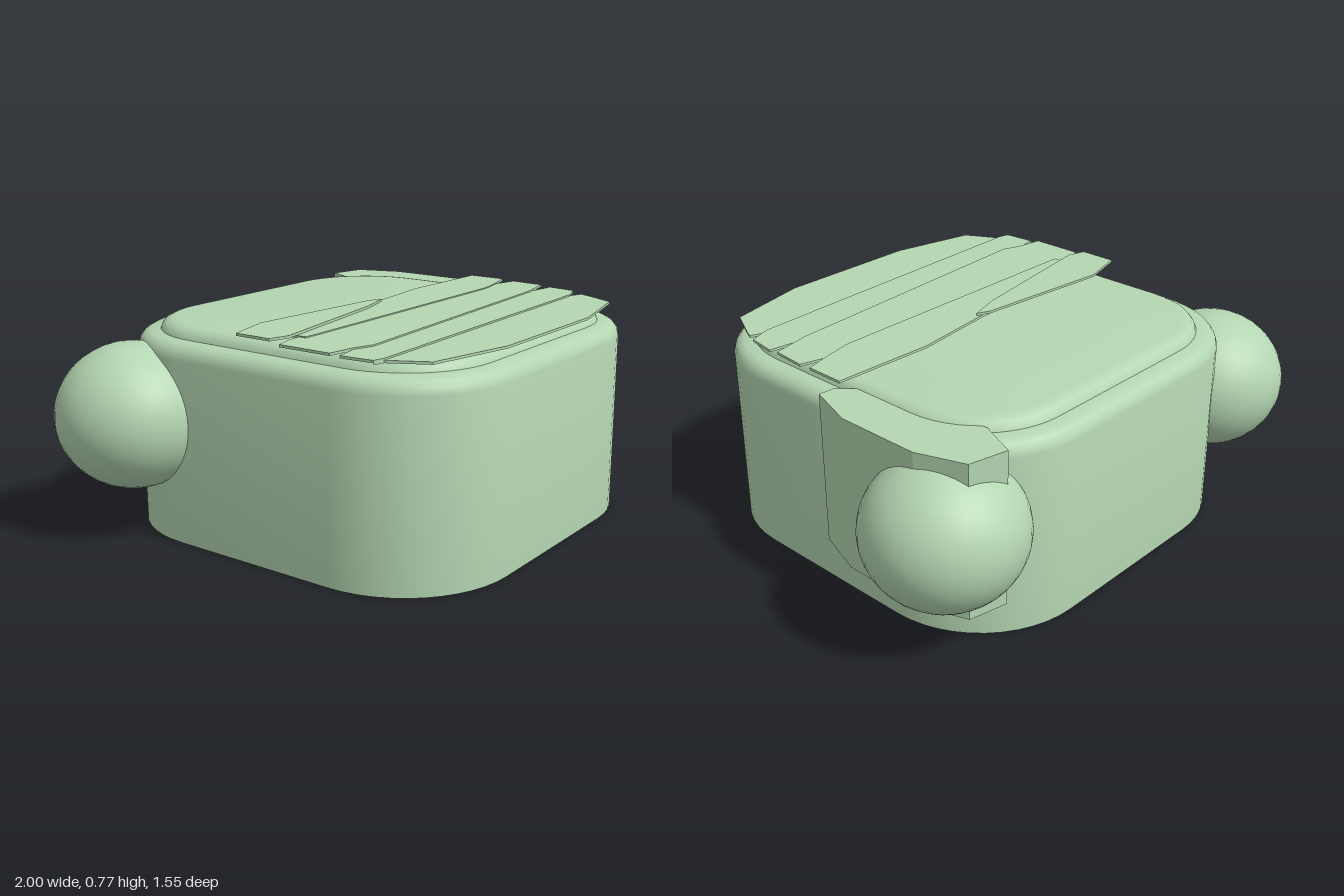
import * as THREE from 'three';
import { toCreasedNormals } from 'three/addons/utils/BufferGeometryUtils.js';

const green = new THREE.MeshStandardMaterial({ color: 0xb4d6b2 });
green.name = 'soft green';

// Outline of a rounded rectangle in x/z, shrunk inwards by inset
function ring(inset, y) {
  const r = 0.41 - inset, cx = 0.33, cz = 0.325, steps = 12, pts = [];
  const corners = [[cx, cz], [-cx, cz], [-cx, -cz], [cx, -cz]];
  corners.forEach(([x, z], k) => {
    for (let i = 0; i <= steps; i++) {
      const a = (k + i / steps) * Math.PI / 2;
      pts.push([x + r * Math.cos(a), y, z + r * Math.sin(a) + 0.036]);
    }
  });
  return pts;
}

// Skin stacked rings and close both ends
function loft(profile) {
  const rings = profile.map(([inset, y]) => ring(inset, y));
  const n = rings[0].length, pos = [], idx = [];
  rings.forEach(r => r.forEach(p => pos.push(...p)));
  for (let j = 0; j < rings.length - 1; j++) {
    for (let i = 0; i < n; i++) {
      const a = j * n + i, b = j * n + (i + 1) % n;
      idx.push(a, a + n, b, b, a + n, b + n);
    }
  }
  const last = (rings.length - 1) * n, low = rings.length * n;
  pos.push(0, profile[0][1], 0.036, 0, profile[profile.length - 1][1], 0.036);
  for (let i = 0; i < n; i++) {
    const k = (i + 1) % n;
    idx.push(low, i, k, low + 1, last + k, last + i);
  }
  const g = new THREE.BufferGeometry();
  g.setAttribute('position', new THREE.Float32BufferAttribute(pos, 3));
  g.setIndex(idx);
  return toCreasedNormals(g, 0.6);
}

// Upright prism from an x/z outline
function prism(outline, y, height) {
  const shape = new THREE.Shape(outline.map(([x, z]) => new THREE.Vector2(x, -z)));
  const g = new THREE.ExtrudeGeometry(shape, { depth: height, bevelEnabled: false });
  return g.rotateX(-Math.PI / 2).translate(0, y, 0);
}

export function createModel() {
  const group = new THREE.Group();
  const add = (geometry, name) => {
    const mesh = new THREE.Mesh(geometry, green);
    mesh.name = name;
    group.add(mesh);
    return mesh;
  };

  // Body with a rounded shoulder and a raised lid
  add(loft([
    [0, 0], [0, 0.65], [0.006, 0.673], [0.02, 0.69], [0.04, 0.7], [0.078, 0.703],
    [0.083, 0.715], [0.095, 0.729], [0.115, 0.738], [0.135, 0.74],
  ]), 'body');

  // Round knobs at the rear corners
  for (const [side, name] of [[1, 'leftKnob'], [-1, 'rightKnob']]) {
    const knob = add(new THREE.SphereGeometry(0.274, 36, 24), name);
    knob.scale.y = 0.94;
    knob.position.set(side * 0.726, 0.425, -0.505);
  }

  // Faceted panel wrapped around the left rear side
  add(prism([
    [0.62, -0.67], [0.76, -0.64], [0.82, -0.47], [0.82, -0.16],
    [0.76, 0.02], [0.7, 0.015], [0.6, -0.1], [0.56, -0.53],
  ], 0.165, 0.557), 'sidePanel');

  // Overlapping slats with notched ends, stepping up towards the rear
  const slats = [
    [0.765, [[-0.72, -0.02], [-0.55, -0.065], [-0.02, -0.012], [0.03, 0.01],
      [-0.1, 0.05], [-0.65, 0.14], [-0.72, 0.12]]],
    [0.756, [[-0.6, 0.03], [0, 0], [0.33, -0.04], [0.71, -0.025], [0.71, 0.12],
      [0.6, 0.15], [0.5, 0.17], [-0.6, 0.17]]],
    [0.752, [[-0.72, 0.16], [-0.65, 0.14], [0.6, 0.14], [0.71, 0.17], [0.7, 0.3],
      [0.56, 0.33], [-0.55, 0.4], [-0.62, 0.375], [-0.72, 0.36]]],
    [0.747, [[-0.71, 0.39], [-0.62, 0.375], [0.56, 0.32], [0.7, 0.34], [0.685, 0.45],
      [0.6, 0.48], [-0.66, 0.52], [-0.7, 0.51]]],
    [0.741, [[-0.7, 0.51], [-0.6, 0.45], [0.6, 0.47], [0.665, 0.495], [0.65, 0.53],
      [0.59, 0.65], [0.28, 0.72], [-0.27, 0.72], [-0.59, 0.65], [-0.66, 0.52]]],
  ];
  slats.forEach(([y, outline], i) => add(prism(outline, y, 0.009), 'topSlat' + (i + 1)));

  return group;
}
